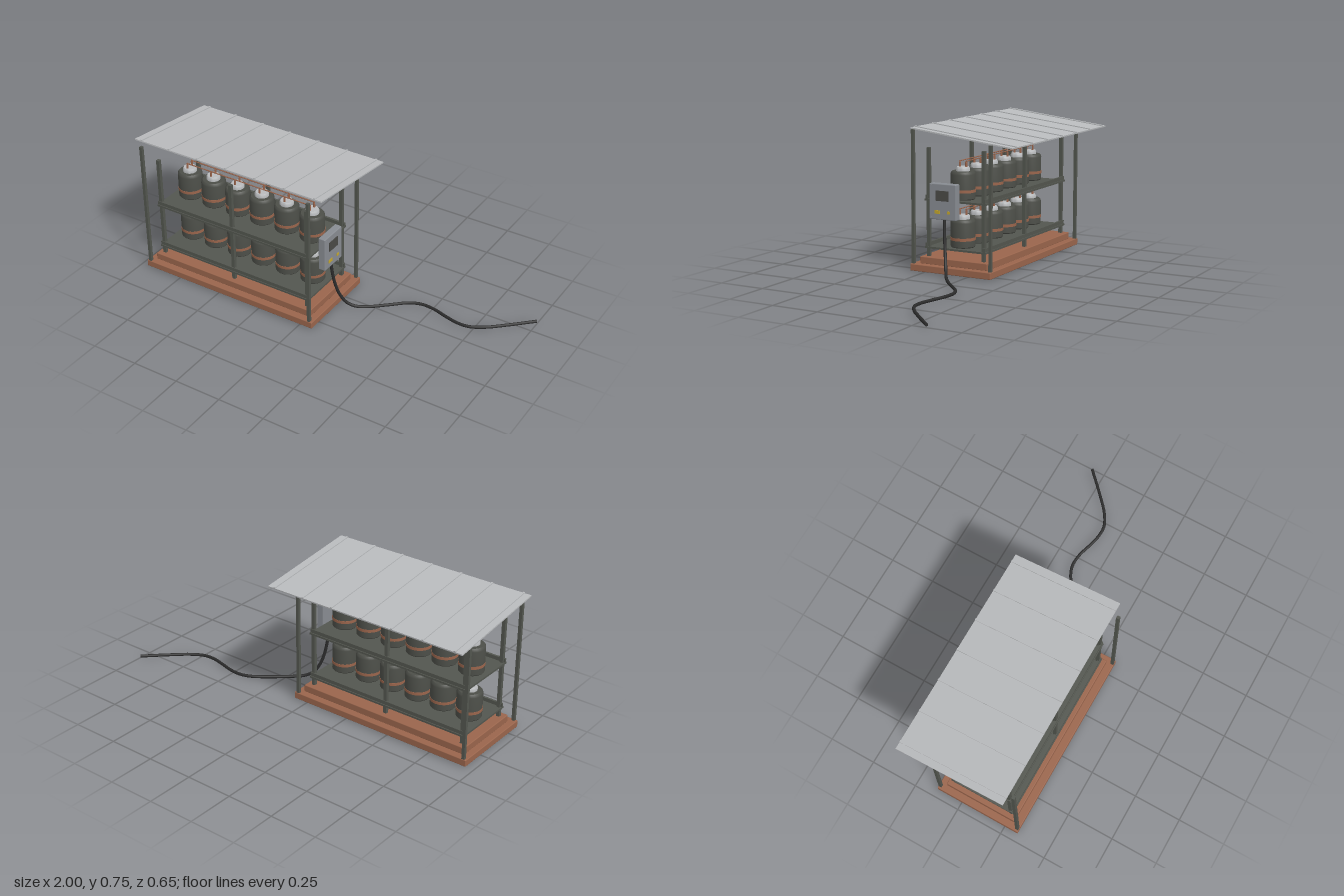
import * as THREE from 'three';
import { RoundedBoxGeometry } from 'three/addons/geometries/RoundedBoxGeometry.js';
import { toCreasedNormals } from 'three/addons/utils/BufferGeometryUtils.js';

const paint = (name, color) => {
  const m = new THREE.MeshStandardMaterial({ color });
  m.name = name;
  return m;
};

export function createModel() {
  const root = new THREE.Group();
  root.name = 'batteryRack';
  const copper = paint('copper brown', 0x9a654c);
  const steel = paint('dark steel', 0x53564f);
  const tankGrey = paint('tank grey', 0x4c4e48);
  const zinc = paint('light zinc', 0xb9bbbd);
  const boxGrey = paint('cabinet grey', 0x888c92);
  const screenGrey = paint('screen grey', 0x4a4a47);
  const yellow = paint('yellow', 0xc4a72e);
  const rubber = paint('black rubber', 0x2b2b2b);

  const add = (name, geo, mat, x = 0, y = 0, z = 0, parent = root) => {
    const m = new THREE.Mesh(geo, mat);
    m.name = name;
    m.position.set(x, y, z);
    parent.add(m);
    return m;
  };
  // Box given by its min and max on each axis
  const span = (name, mat, [x0, x1], [y0, y1], [z0, z1], bevel = 0, parent = root) => {
    const s = [x1 - x0, y1 - y0, z1 - z0];
    const geo = bevel ? new RoundedBoxGeometry(...s, 2, bevel) : new THREE.BoxGeometry(...s);
    return add(name, geo, mat, (x0 + x1) / 2, (y0 + y1) / 2, (z0 + z1) / 2, parent);
  };
  const lathe = pts => toCreasedNormals(
    new THREE.LatheGeometry(pts.map(p => new THREE.Vector2(...p)), 28), 0.6);

  // Stepped plinth
  span('lowerPlinth', copper, [-0.96, 0.075], [0.007, 0.043], [-0.14, 0.325], 0.004);
  span('upperPlinth', copper, [-0.925, 0.04], [0.041, 0.079], [-0.103, 0.287], 0.004);

  // Roof posts, taller at the front
  for (const x of [-0.942, 0.054]) {
    span('frontRoofPost', steel, [x - 0.008, x + 0.008], [0.04, 0.732], [0.307, 0.323]);
    span('backRoofPost', steel, [x - 0.008, x + 0.008], [0.04, 0.676], [-0.138, -0.122]);
  }

  // Rack uprights
  for (const x of [-0.891, -0.443, 0.005]) {
    for (const z of [0.252, -0.066]) {
      span('rackPost', steel, [x - 0.009, x + 0.009], [0.075, 0.639], [z - 0.009, z + 0.009]);
    }
  }

  // Sloping roof sheet with standing ribs
  const roof = new THREE.Group();
  roof.name = 'roof';
  roof.position.set(-0.4425, 0.711, 0.005);
  roof.rotation.x = -0.1214;
  root.add(roof);
  add('roofSheet', new THREE.BoxGeometry(1.115, 0.007, 0.578), zinc, 0, 0, 0, roof);
  for (let i = -3; i <= 3; i++) {
    add('roofRib', new THREE.BoxGeometry(0.01, 0.006, 0.578), zinc, i * 0.1725, 0.0055, 0, roof);
  }

  // Tank parts shared by both shelves
  const bodyGeo = lathe([[0, 0], [0.06, 0], [0.064, 0.005], [0.064, 0.128],
    [0.062, 0.137], [0.056, 0.144], [0, 0.145]]);
  const neckGeo = lathe([[0.036, 0.142], [0.036, 0.158], [0.031, 0.166], [0, 0.166]]);
  const bandGeo = lathe([[0.063, 0.037], [0.0655, 0.037], [0.0655, 0.052], [0.063, 0.052]]);
  const terminalGeo = new THREE.CylinderGeometry(0.0055, 0.0055, 0.024, 10);
  const pinGeo = new THREE.CylinderGeometry(0.0025, 0.0025, 0.01, 8);
  const barGeo = new THREE.CylinderGeometry(0.003, 0.003, 0.76, 8).rotateZ(Math.PI / 2);
  const zMid = 0.093;

  for (const y of [0.13, 0.377]) {
    // Shelf plate with raised front and back rails
    span('shelf', steel, [-0.906, 0.019], [y - 0.01, y], [-0.084, 0.269]);
    span('frontShelfRail', steel, [-0.906, 0.019], [y - 0.005, y + 0.019], [0.253, 0.265]);
    span('backShelfRail', steel, [-0.906, 0.019], [y - 0.005, y + 0.019], [-0.079, -0.067]);
    for (let i = 0; i < 6; i++) {
      const tank = new THREE.Group();
      tank.name = 'tank';
      tank.position.set(-0.82 + i * 0.1506, y, zMid);
      root.add(tank);
      add('tankBody', bodyGeo, tankGrey, 0, 0, 0, tank);
      add('tankNeck', neckGeo, zinc, 0, 0, 0, tank);
      add('tankBand', bandGeo, copper, 0, 0, 0, tank);
      for (const dz of [-0.0185, 0.0185]) {
        add('terminal', terminalGeo, copper, 0, 0.177, dz, tank);
        add('terminalPin', pinGeo, copper, 0, 0.192, dz, tank);
      }
    }
    // Bars that join the terminals
    for (const dz of [-0.0185, 0.0185]) {
      add('connectingBar', barGeo, copper, -0.4435, y + 0.194, zMid + dz);
    }
  }

  // Control cabinet on the right-hand end
  const cabinet = new THREE.Group();
  cabinet.name = 'controlCabinet';
  root.add(cabinet);
  span('cabinetBody', boxGrey, [0.041, 0.08], [0.287, 0.47], [0.052, 0.206], 0.005, cabinet);
  span('screen', screenGrey, [0.078, 0.083], [0.383, 0.435], [0.093, 0.168], 0, cabinet);
  span('wideButton', yellow, [0.078, 0.083], [0.317, 0.335], [0.145, 0.175], 0, cabinet);
  span('smallButton', yellow, [0.078, 0.083], [0.319, 0.333], [0.085, 0.1], 0, cabinet);
  for (const y of [0.297, 0.46]) {
    for (const z of [0.062, 0.196]) {
      add('screw', new THREE.CylinderGeometry(0.003, 0.003, 0.004, 8).rotateZ(Math.PI / 2),
        boxGrey, 0.08, y, z, cabinet);
    }
  }

  // Cable dropping from the cabinet and trailing along the ground
  const path = new THREE.CatmullRomCurve3([
    [0.063, 0.295, 0.128], [0.071, 0.22, 0.123], [0.084, 0.145, 0.113],
    [0.102, 0.088, 0.1], [0.13, 0.042, 0.082], [0.17, 0.018, 0.057],
    [0.225, 0.011, 0.015], [0.3, 0.011, -0.05], [0.38, 0.014, -0.115],
    [0.44, 0.015, -0.138], [0.51, 0.015, -0.136], [0.6, 0.014, -0.112],
    [0.67, 0.014, -0.098], [0.73, 0.014, -0.102], [0.8, 0.014, -0.14],
    [0.88, 0.014, -0.21], [0.994, 0.014, -0.32],
  ].map(p => new THREE.Vector3(...p)));
  add('cable', new THREE.TubeGeometry(path, 120, 0.008, 12), rubber);
  const tip = add('cableEnd', new THREE.CylinderGeometry(0.008, 0.008, 0.004, 12), rubber);
  tip.position.copy(path.getPoint(1));
  tip.quaternion.setFromUnitVectors(new THREE.Vector3(0, 1, 0), path.getTangent(1));

  return root;
}
